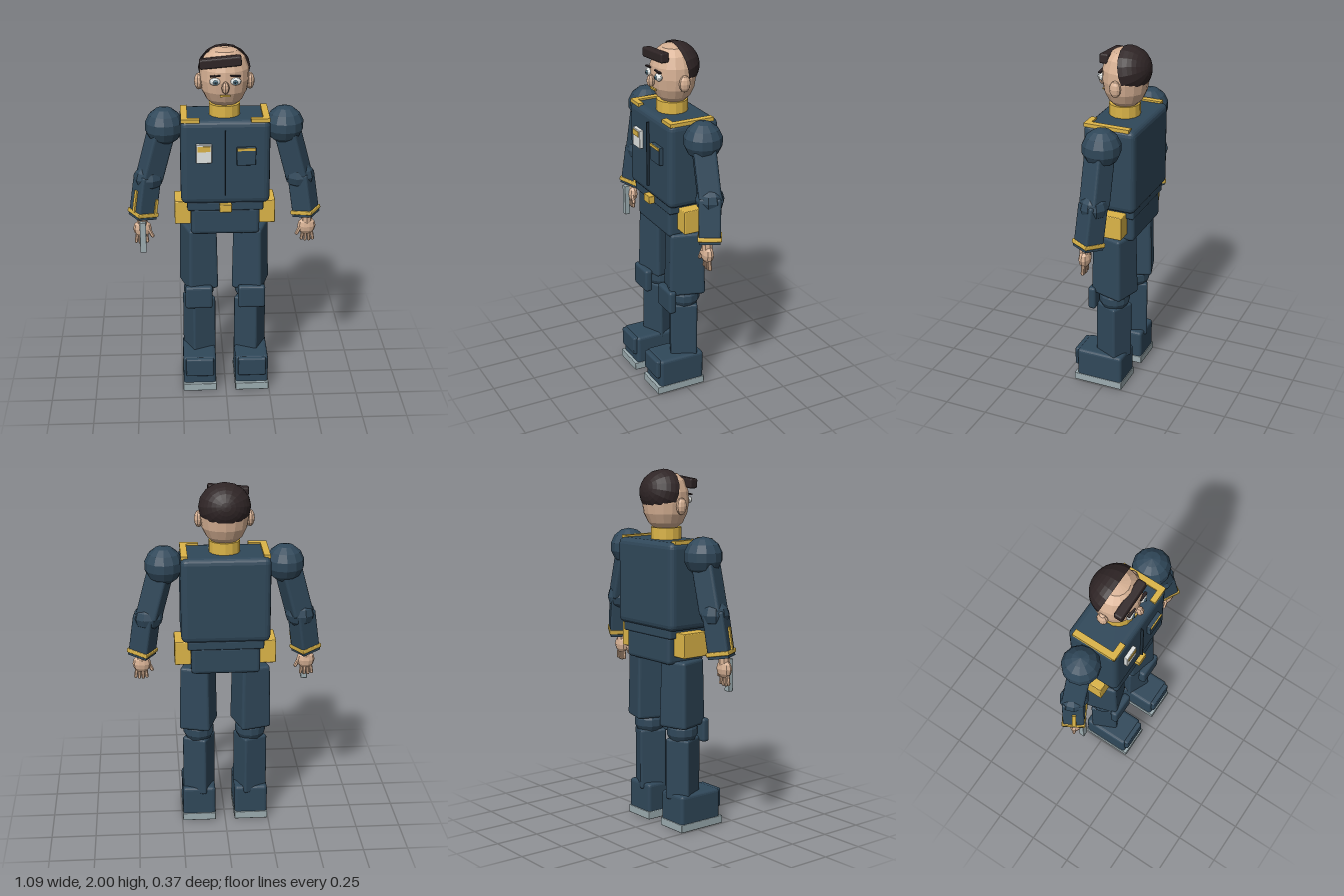
import * as THREE from 'three';
import { RoundedBoxGeometry } from 'three/addons/geometries/RoundedBoxGeometry.js';

const paint = (name, color, side = THREE.FrontSide) =>
  Object.assign(new THREE.MeshStandardMaterial({ color, side, flatShading: true }), { name });
const M = {
  navy: paint('navy uniform', 0x30485a),
  dark: paint('dark trim', 0x1f2e3a),
  gold: paint('gold trim', 0xdcb548),
  skin: paint('skin', 0xd8b295),
  hair: paint('dark brown hair', 0x2f2526, THREE.DoubleSide),
  grey: paint('grey rubber and metal', 0x9dadb1),
  white: paint('white', 0xe2e5e3),
  iris: paint('blue iris', 0x6f9db3),
};

function add(parent, name, geo, mat, [x, y, z], rot = [0, 0, 0]) {
  const m = new THREE.Mesh(geo, mat);
  m.name = name;
  m.position.set(x, y, z);
  m.rotation.set(rot[0], rot[1], rot[2], 'ZYX');
  parent.add(m);
}
// Box with softened edges; r = 0 gives a sharp box
function box(parent, name, mat, [w, h, d], pos, r = 0, rot) {
  const geo = r ? new RoundedBoxGeometry(w, h, d, 2, r) : new THREE.BoxGeometry(w, h, d);
  add(parent, name, geo, mat, pos, rot);
}
// Faceted ellipsoid
function ball(parent, name, mat, [rx, ry, rz], pos, seg = 12) {
  add(parent, name, new THREE.SphereGeometry(1, seg, Math.max(6, seg * 0.66 | 0)).scale(rx, ry, rz), mat, pos);
}
function group(parent, name) {
  const g = new THREE.Group();
  g.name = name;
  parent.add(g);
  return g;
}

function buildHead(root) {
  const head = group(root, 'head');
  // Egg-shaped skull with a flat chin
  const profile = [[0, 1.675], [0.065, 1.677], [0.1, 1.71], [0.125, 1.76], [0.135, 1.82],
    [0.132, 1.88], [0.11, 1.94], [0.07, 1.975], [0, 1.988]].map(p => new THREE.Vector2(...p));
  add(head, 'skull', new THREE.LatheGeometry(profile, 16).scale(1, 1, 0.93), M.skin, [0, 0, -0.035]);

  // Hair cap over the crown and back, its pole pointing back and slightly up
  const cap = new THREE.SphereGeometry(0.13, 16, 8, 0, Math.PI * 2, 0, 1.52)
    .rotateX(-Math.PI / 2 + 0.22).scale(1.09, 0.98, 1);
  add(head, 'hairCap', cap, M.hair, [0, 1.873, -0.046]);
  box(head, 'fringe', M.hair, [0.225, 0.054, 0.05], [-0.025, 1.932, 0.057], 0.01, [0, 0, 0.09]);

  ball(head, 'nose', M.skin, [0.021, 0.035, 0.025], [0, 1.802, 0.098], 8);
  box(head, 'mouth', M.gold, [0.055, 0.009, 0.012], [0, 1.753, 0.083]);
  for (const s of [1, -1]) {
    ball(head, 'ear', M.skin, [0.025, 0.047, 0.032], [s * 0.138, 1.803, -0.033], 10);
    ball(head, 'eye', M.white, [0.03, 0.021, 0.018], [s * 0.055, 1.832, 0.08], 12);
    ball(head, 'iris', M.iris, [0.013, 0.013, 0.006], [s * 0.053, 1.831, 0.096], 10);
    ball(head, 'pupil', M.dark, [0.006, 0.006, 0.004], [s * 0.053, 1.831, 0.101], 8);
    box(head, 'eyebrow', M.hair, [0.056, 0.007, 0.016], [s * 0.053, 1.863, 0.083], 0, [0, 0, s * -0.08]);
  }
}

function buildTorso(root) {
  const torso = group(root, 'torso');
  box(torso, 'jacket', M.navy, [0.488, 0.48, 0.297], [0, 1.38, -0.038], 0.034);
  box(torso, 'belt', M.navy, [0.42, 0.055, 0.265], [0, 1.123, -0.038], 0.01);
  box(torso, 'pelvis', M.navy, [0.38, 0.16, 0.25], [0, 1.03, -0.038], 0.02);
  box(torso, 'buckle', M.gold, [0.068, 0.045, 0.035], [0, 1.122, 0.112], 0.004);
  add(torso, 'collar', new THREE.CylinderGeometry(0.086, 0.086, 0.075, 14), M.gold, [0, 1.647, -0.03]);
  box(torso, 'zip', M.dark, [0.005, 0.37, 0.018], [0, 1.385, 0.118]);

  // Chest pocket on the left, badge on the right
  box(torso, 'pocket', M.navy, [0.105, 0.1, 0.03], [0.112, 1.425, 0.118], 0.005);
  box(torso, 'pocketTrim', M.gold, [0.098, 0.014, 0.007], [0.112, 1.467, 0.135]);
  box(torso, 'badge', M.white, [0.085, 0.105, 0.025], [-0.117, 1.443, 0.12], 0.004);
  box(torso, 'badgeBand', M.gold, [0.068, 0.03, 0.006], [-0.117, 1.472, 0.134]);

  for (const s of [1, -1]) {
    box(torso, 'shoulderTrim', M.gold, [0.036, 0.02, 0.255], [s * 0.222, 1.62, -0.027]);
    box(torso, 'frontTrim', M.gold, [0.1, 0.02, 0.032], [s * 0.188, 1.62, 0.089]);
    box(torso, 'pouch', M.gold, [0.09, 0.135, 0.165], [s * 0.235, 1.063, -0.045], 0.006);
  }
}

function buildArm(root, s) {
  const arm = group(root, s > 0 ? 'leftArm' : 'rightArm');
  ball(arm, 'shoulder', M.navy, [0.106, 0.106, 0.106], [s * 0.33, 1.55, -0.04], 12);
  // Limb boxes are turned about their own length
  box(arm, 'upperArm', M.navy, [0.122, 0.31, 0.122], [s * 0.377, 1.4, -0.036], 0.014, [0, s * -0.4, s * 0.26]);
  ball(arm, 'elbow', M.navy, [0.083, 0.075, 0.078], [s * 0.42, 1.25, -0.035], 10);

  const fore = group(arm, 'forearm');
  fore.position.set(s * 0.428, 1.25, -0.033);
  fore.rotation.set(-0.08, s * -0.52, s * 0.18, 'ZYX');
  box(fore, 'sleeve', M.navy, [0.118, 0.235, 0.118], [0, -0.1, 0], 0.012);
  box(fore, 'cuff', M.gold, [0.13, 0.024, 0.13], [0, -0.205, 0], 0.006);
  box(fore, 'sleeveEnd', M.navy, [0.115, 0.02, 0.115], [0, -0.222, 0]);
  if (s < 0) {
    box(fore, 'outerStripe', M.gold, [0.012, 0.125, 0.022], [-0.062, -0.135, 0.005]);
    box(fore, 'frontStripe', M.gold, [0.016, 0.085, 0.012], [0.042, -0.155, 0.062]);
  }

  // Open hand with four hanging fingers and a thumb
  const hand = group(arm, 'hand');
  hand.position.set(s * 0.462, 0.958, 0);
  ball(hand, 'palm', M.skin, [0.052, 0.052, 0.032], [0, 0, 0], 10);
  add(hand, 'wrist', new THREE.CylinderGeometry(0.03, 0.03, 0.06, 8), M.skin, [0, 0.05, 0]);
  for (let i = 0; i < 4; i++) {
    const len = i === 0 || i === 3 ? 0.045 : 0.055;
    add(hand, 'finger', new THREE.CapsuleGeometry(0.0095, len, 2, 6), M.skin,
      [s * (-0.024 + i * 0.019), -0.058, 0], [0, 0, s * (-0.12 + i * 0.09)]);
  }
  add(hand, 'thumb', new THREE.CapsuleGeometry(0.011, 0.045, 2, 6), M.skin, [s * -0.046, -0.022, 0.012], [0, 0, s * -0.45]);
  if (s < 0) box(hand, 'baton', M.grey, [0.035, 0.18, 0.03], [0.003, -0.038, 0.036], 0.003);
}

function buildLeg(root, s) {
  const leg = group(root, s > 0 ? 'leftLeg' : 'rightLeg');
  // Thigh flares slightly toward the knee
  const thigh = new RoundedBoxGeometry(0.172, 0.375, 0.202, 2, 0.016);
  const p = thigh.attributes.position;
  for (let i = 0; i < p.count; i++) {
    const k = 0.98 - p.getY(i) * 0.2;
    p.setX(i, p.getX(i) * k);
    p.setZ(i, p.getZ(i) * k);
  }
  add(leg, 'thigh', thigh, M.navy, [s * 0.148, 0.778, -0.034], [0, s * -0.29, 0]);
  ball(leg, 'knee', M.navy, [0.088, 0.085, 0.088], [s * 0.148, 0.56, -0.033], 12);
  box(leg, 'kneePad', M.navy, [0.155, 0.135, 0.045], [s * 0.15, 0.558, 0.078], 0.015);
  box(leg, 'shin', M.navy, [0.142, 0.35, 0.152], [s * 0.147, 0.345, -0.028], 0.012, [0, s * -0.43, 0]);
  box(leg, 'boot', M.navy, [0.188, 0.18, 0.275], [s * 0.15, 0.118, 0.027], 0.018);
  box(leg, 'toePlate', M.navy, [0.16, 0.11, 0.035], [s * 0.15, 0.15, 0.167], 0.01);
  box(leg, 'sole', M.grey, [0.192, 0.046, 0.297], [s * 0.15, 0.023, 0.034], 0.004);
}

export function createModel() {
  const root = new THREE.Group();
  root.name = 'uniformedFigure';
  buildHead(root);
  buildTorso(root);
  for (const s of [1, -1]) {
    buildArm(root, s);
    buildLeg(root, s);
  }
  return root;
}
